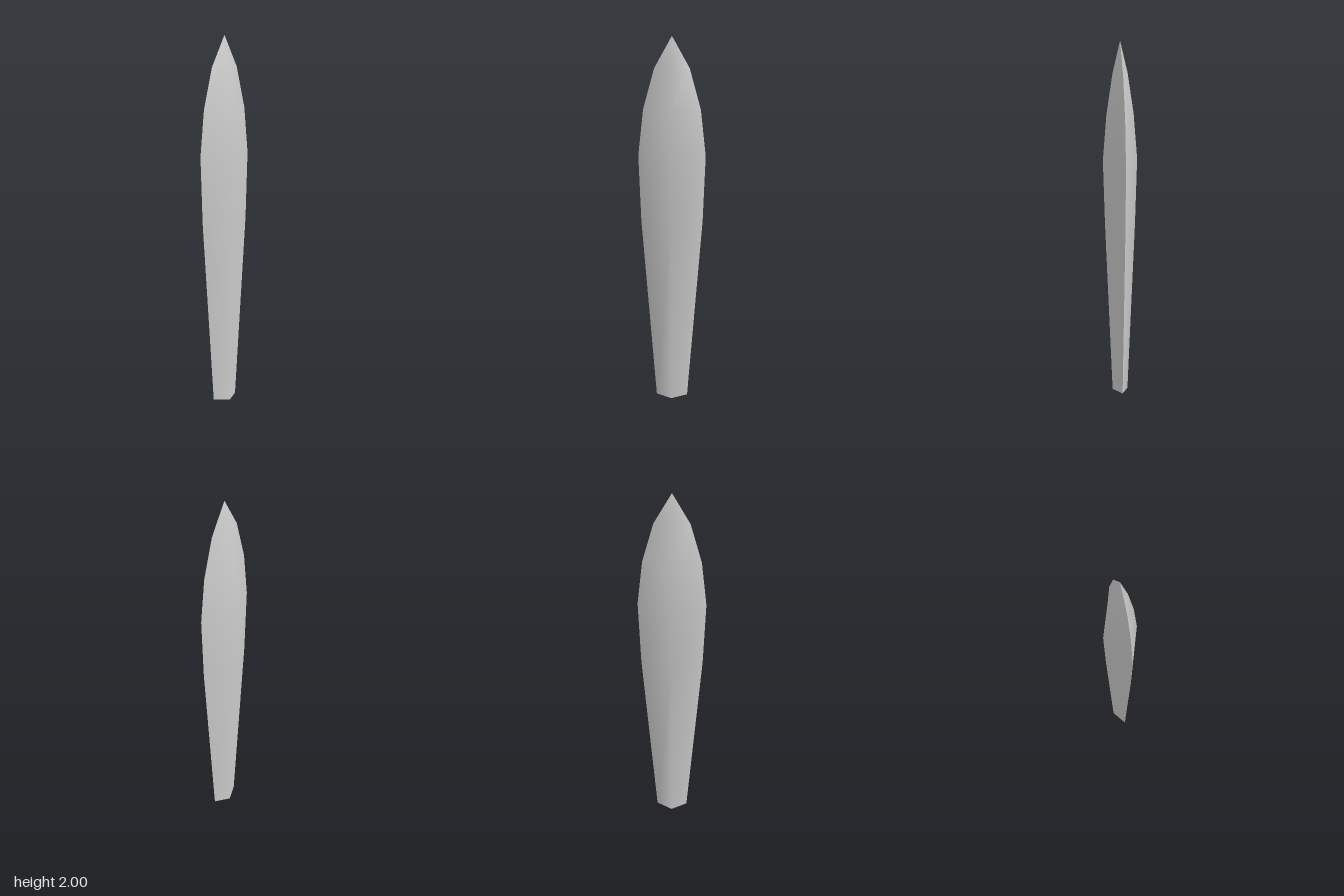
import * as THREE from 'three';
import { toCreasedNormals } from 'three/addons/utils/BufferGeometryUtils.js';

// Diamond cross-sections from base to shoulder: [y, half thickness x, half width z]
const SECTIONS = [
  [0.01, 0.043, 0.085],
  [1.0, 0.083, 0.167],
  [1.36, 0.093, 0.182],
  [1.61, 0.073, 0.155],
  [1.83, 0.04, 0.095],
];

function bladeGeometry() {
  const positions = [];
  const index = [];

  // one four-cornered ring per section; the base dips slightly at its side ridges
  SECTIONS.forEach(([y, x, z], s) => {
    const ridgeY = s === 0 ? 0 : y;
    positions.push(x, ridgeY, 0, 0, y, -z, -x, ridgeY, 0, 0, y, z);
  });
  const tip = SECTIONS.length * 4;
  positions.push(0, 2, 0);

  // blade faces, closing to the point
  for (let s = 0; s < SECTIONS.length; s++) {
    for (let i = 0; i < 4; i++) {
      const a = s * 4 + i;
      const b = s * 4 + ((i + 1) % 4);
      if (s === SECTIONS.length - 1) index.push(a, b, tip);
      else index.push(a, b, b + 4, a, b + 4, a + 4);
    }
  }

  // folded base cap
  index.push(0, 2, 1, 0, 3, 2);

  const geometry = new THREE.BufferGeometry();
  geometry.setAttribute('position', new THREE.Float32BufferAttribute(positions, 3));
  geometry.setIndex(index);
  // soft side ridges, sharp cutting edges and base rim
  return toCreasedNormals(geometry, 1.15);
}

export function createModel() {
  const group = new THREE.Group();
  const blade = new THREE.Mesh(
    bladeGeometry(),
    new THREE.MeshStandardMaterial({ color: 0xcccccc })
  );
  blade.name = 'blade';
  group.add(blade);
  return group;
}
